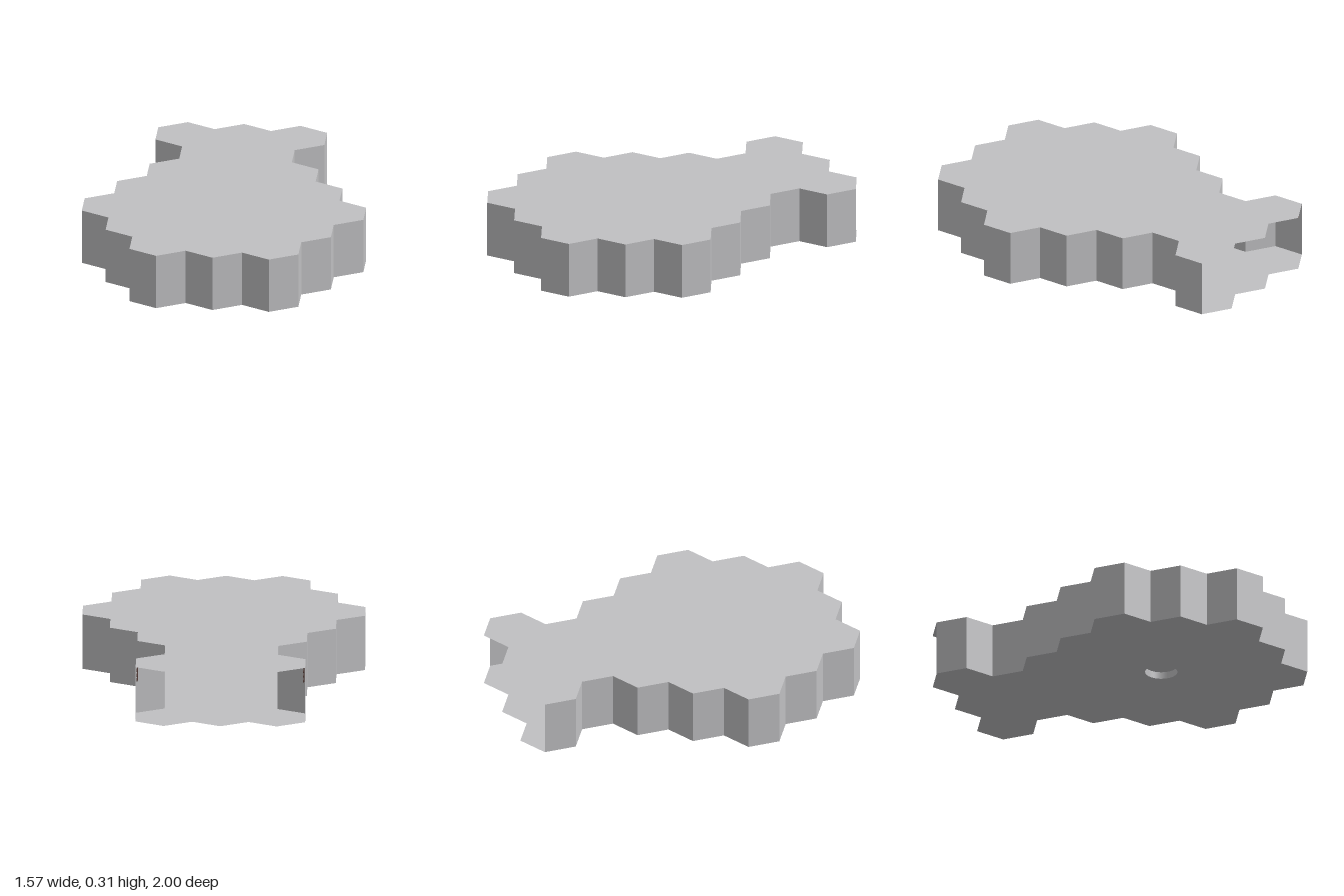
import * as THREE from 'three';

const R = 2 / 11;                 // hexagon corner radius
const W = R * Math.sqrt(3);       // hexagon width across flats
const H = 0.314;                  // shell height
const ROWS = [3, 2, 3, 4, 5, 4, 3]; // hexagons per row, back to front

// Zigzag across the end hexagons, from +x to -x; dir is +1 for front, -1 for back
function zigzag(dir) {
  const points = [];
  for (let i = 1; i <= 5; i++) points.push([1.5 * W - i * W / 2, dir * (i % 2 ? 1 : 1 - R / 2)]);
  return points;
}

export function createModel() {
  const group = new THREE.Group();
  const grey = new THREE.MeshStandardMaterial({ color: 0xc0c0c2, side: THREE.DoubleSide });
  grey.name = 'light grey';
  const brown = new THREE.MeshStandardMaterial({ color: 0x4a3430 });
  brown.name = 'dark brown';
  const add = (name, geometry, material, x = 0, y = 0, z = 0) => {
    const mesh = new THREE.Mesh(geometry, material);
    mesh.name = name;
    mesh.position.set(x, y, z);
    group.add(mesh);
    return mesh;
  };

  // Outline of the honeycomb as [x, z]
  const side = [];
  ROWS.forEach((n, i) => {
    const z = -1 + R + i * 1.5 * R;
    side.push([n * W / 2, z - R / 2], [n * W / 2, z + R / 2]);
  });
  const mirrored = side.map(([x, z]) => [-x, z]).reverse();
  const wallPath = [...side, ...zigzag(1), ...mirrored];
  const outline = [...wallPath, ...zigzag(-1).reverse()];
  const plate = () => new THREE.Shape(outline.map(([x, z]) => new THREE.Vector2(x, -z)));

  // Roof, and floor with a round hole
  add('roof', new THREE.ShapeGeometry(plate()).rotateX(-Math.PI / 2), grey, 0, H);
  const floorShape = plate();
  const holeR = 0.09, holeZ = 0.25;
  floorShape.holes.push(new THREE.Path().absarc(0, -holeZ, holeR, 0, Math.PI * 2, true));
  add('floor', new THREE.ShapeGeometry(floorShape, 24).rotateX(-Math.PI / 2), grey);
  add('holeCollar', new THREE.CylinderGeometry(holeR, holeR, 0.04, 48, 1, true), grey, 0, 0.02, holeZ);

  // Folded wall, open along the back
  const positions = [];
  for (let i = 0; i < wallPath.length - 1; i++) {
    const [ax, az] = wallPath[i], [bx, bz] = wallPath[i + 1];
    positions.push(ax, 0, az, ax, H, az, bx, H, bz, ax, 0, az, bx, H, bz, bx, 0, bz);
  }
  const wall = new THREE.BufferGeometry();
  wall.setAttribute('position', new THREE.Float32BufferAttribute(positions, 3));
  wall.computeVertexNormals();
  add('wall', wall, grey);

  // Small slats and oval rings inside the open end
  for (const s of [1, -1]) {
    for (let i = 0; i < 3; i++) {
      add('slat', new THREE.BoxGeometry(0.006, 0.006, 0.15), brown, s * 0.464, 0.23 + i * 0.027, -0.82);
    }
    const ring = add('ovalRing', new THREE.TorusGeometry(0.03, 0.003, 6, 24), brown, s * 0.42, H - 0.005, -0.79);
    ring.rotation.x = Math.PI / 2;
    ring.scale.y = 2.4;
  }
  return group;
}
